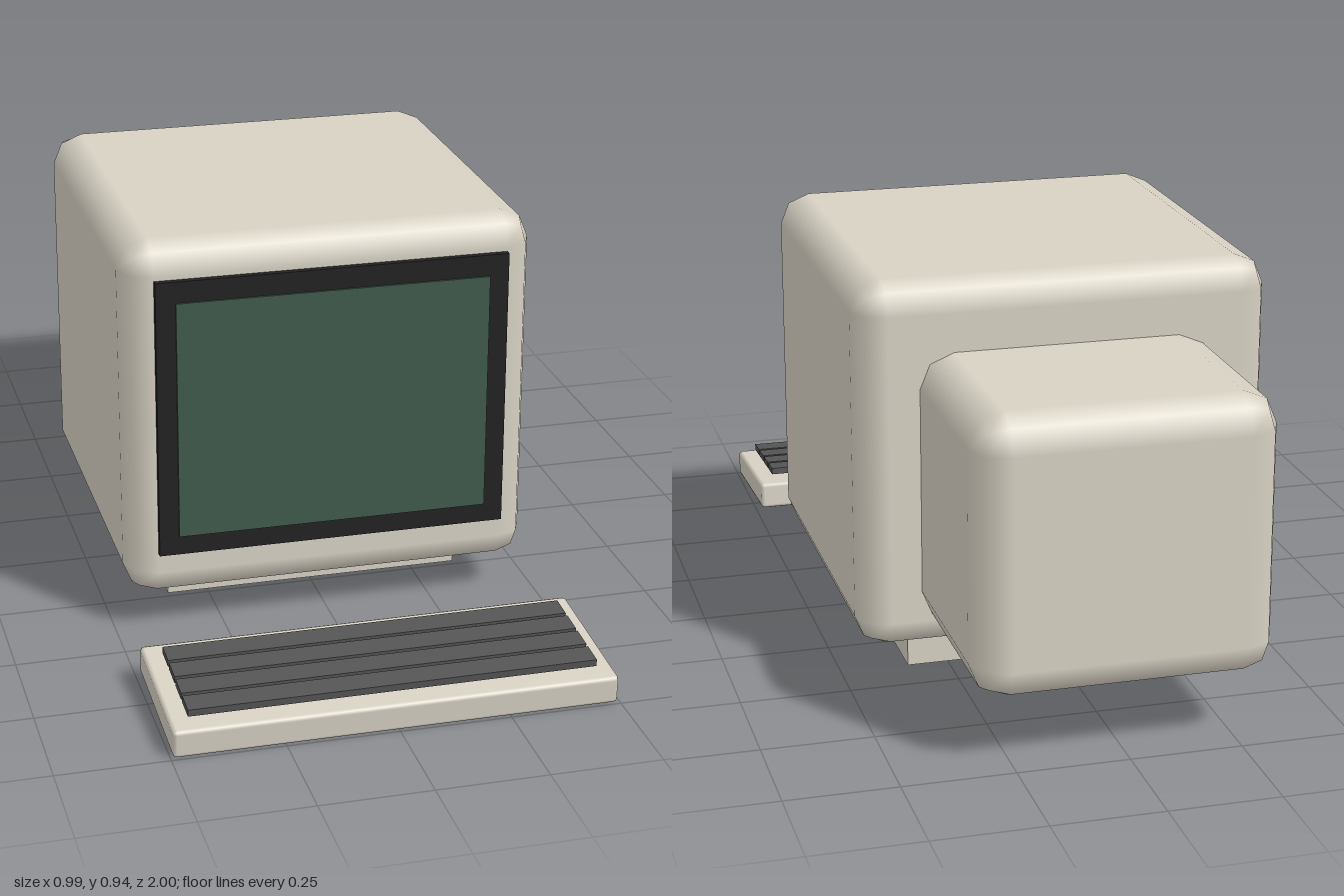
import * as THREE from 'three';
import { RoundedBoxGeometry } from 'three/addons/geometries/RoundedBoxGeometry.js';

const paint = (color) => new THREE.MeshStandardMaterial({ color });
const casing = paint(0xd8d2c4);
const bezelDark = paint(0x222222);
const glassGreen = paint(0x3f5a4b);
const keyGrey = paint(0x555555);

function add(parent, name, geometry, material, x, y, z) {
  const mesh = new THREE.Mesh(geometry, material);
  mesh.name = name;
  mesh.position.set(x, y, z);
  parent.add(mesh);
  return mesh;
}

export function createModel() {
  const model = new THREE.Group();
  model.name = 'desktopComputer';

  // Monitor: bevelled housing, rear tube cover and plinth
  const monitor = new THREE.Group();
  monitor.name = 'monitor';
  model.add(monitor);
  add(monitor, 'housing', new RoundedBoxGeometry(0.95, 0.852, 0.94, 1, 0.07), casing, 0, 0.512, -0.04);
  add(monitor, 'tubeCover', new RoundedBoxGeometry(0.67, 0.63, 0.63, 1, 0.078), casing, 0, 0.465, -0.685);
  add(monitor, 'plinth', new THREE.BoxGeometry(0.7, 0.09, 0.68), casing, 0, 0.06, -0.083);

  // Screen: dark bezel with the glass standing slightly proud
  add(monitor, 'bezel', new THREE.BoxGeometry(0.81, 0.655, 0.03), bezelDark, 0, 0.532, 0.43);
  add(monitor, 'screenGlass', new THREE.BoxGeometry(0.72, 0.56, 0.02), glassGreen, 0, 0.53, 0.44);

  // Keyboard: tilted slab with four raised rows of keys
  const keyboard = new THREE.Group();
  keyboard.name = 'keyboard';
  keyboard.position.set(0, 0.047, 0.82);
  keyboard.rotation.x = 0.07;
  model.add(keyboard);
  add(keyboard, 'keyboardCase', new RoundedBoxGeometry(0.99, 0.065, 0.355, 1, 0.009), casing, 0, 0, 0);
  for (let row = 0; row < 4; row++) {
    add(keyboard, 'keyRow' + (row + 1), new THREE.BoxGeometry(0.91, 0.016, 0.057), keyGrey,
      0, 0.05, 0.008 + (row - 1.5) * 0.067);
  }

  return model;
}
